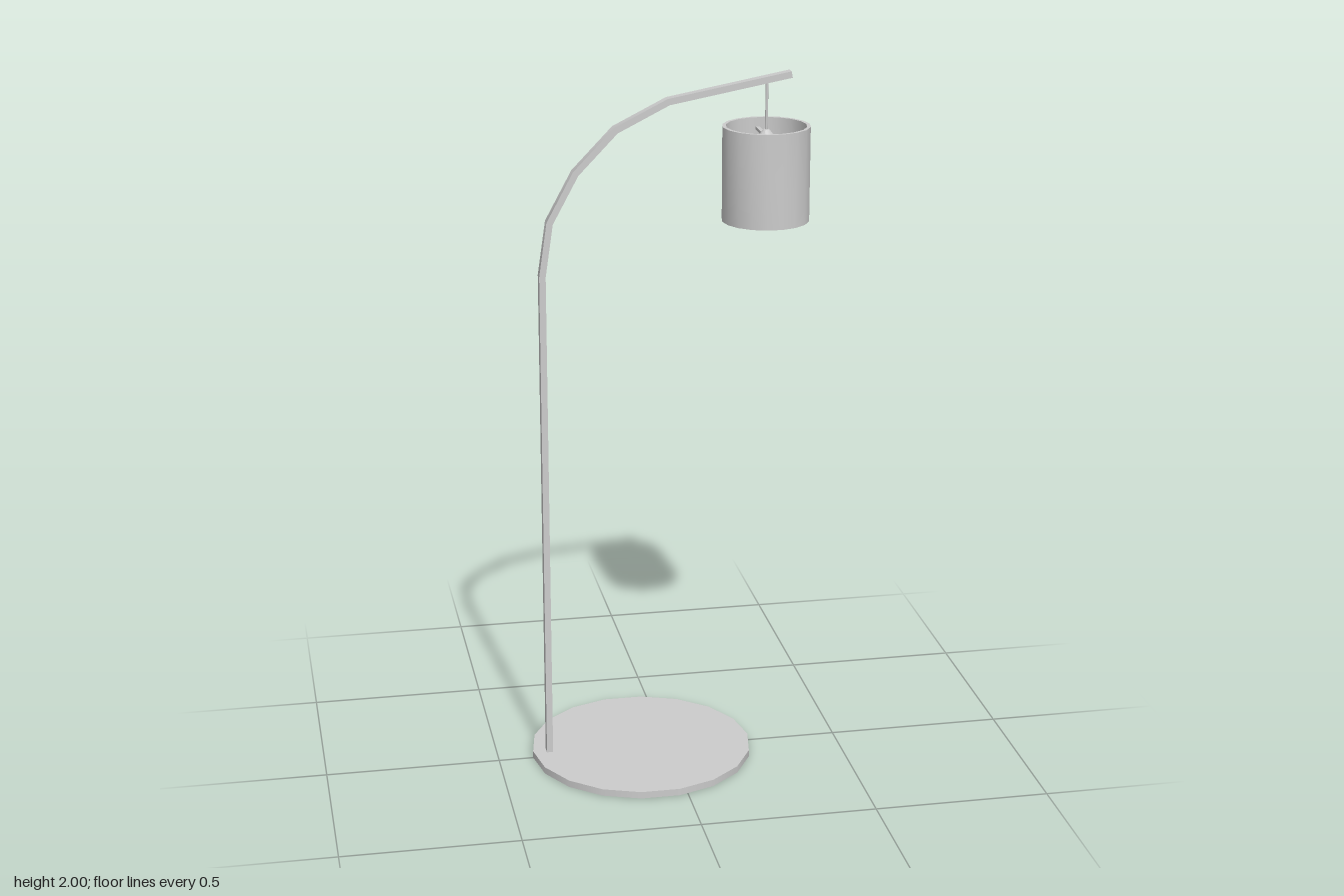
import * as THREE from 'three';
import { toCreasedNormals } from 'three/addons/utils/BufferGeometryUtils.js';

const SIDES = 18;
const LAMP_X = 0.275;

export function createModel() {
  const group = new THREE.Group();
  const material = new THREE.MeshStandardMaterial({ color: 0xcccccc });

  function add(name, geometry, x = 0, y = 0, z = 0, parent = group) {
    const mesh = new THREE.Mesh(geometry, material);
    mesh.name = name;
    mesh.position.set(x, y, z);
    parent.add(mesh);
    return mesh;
  }

  const lathe = (profile, sides) => toCreasedNormals(
    new THREE.LatheGeometry(profile.map(([r, y]) => new THREE.Vector2(r, y)), sides).rotateY(Math.PI / 2), 0.6);

  // Flat round foot
  add('base', new THREE.CylinderGeometry(0.32, 0.32, 0.02, SIDES).rotateY(Math.PI / 2), -0.08, 0.01, 0);

  // Upright and curved arm: one rectangular bar following a bent centre line
  const path = [
    [-0.352, 0.01], [-0.352, 1.455], [-0.33, 1.605], [-0.257, 1.74],
    [-0.146, 1.855], [0, 1.928], [0.342, 1.991],
  ].map(([x, y]) => new THREE.Vector2(x, y));
  add('arm', barAlong(path, 0.018, 0.028));

  // Hanging rod
  add('rod', new THREE.CylinderGeometry(0.004, 0.004, 0.155, 8), LAMP_X, 1.9025, 0);

  // Drum shade, open at both ends
  const lamp = new THREE.Group();
  lamp.name = 'lampShade';
  lamp.position.set(LAMP_X, 0, 0);
  group.add(lamp);
  add('shade', lathe([[0.122, 1.585], [0.122, 1.85], [0.112, 1.85], [0.112, 1.585], [0.122, 1.585]], SIDES), 0, 0, 0, lamp);

  // Cross of spokes carrying the shade
  for (let i = 0; i < 4; i++) {
    const spoke = new THREE.BoxGeometry(0.105, 0.008, 0.011).translate(0.0625, 0, 0);
    add('spoke', spoke, 0, 1.82, 0, lamp).rotation.y = i * Math.PI / 2;
  }

  // Lamp holder in the middle of the spokes
  add('socket', lathe([
    [0, 1.77], [0.016, 1.773], [0.023, 1.785], [0.023, 1.822], [0.008, 1.84], [0, 1.84],
  ], 12), 0, 0, 0, lamp);

  return group;
}

// Extrude a mitred outline of the given width around a path in the xy plane
function barAlong(path, width, depth) {
  const left = [], right = [];
  path.forEach((p, i) => {
    const a = path[Math.max(i - 1, 0)], b = path[Math.min(i + 1, path.length - 1)];
    const before = p.clone().sub(a).normalize();
    const after = b.clone().sub(p).normalize();
    const t = before.clone().add(after).normalize();
    const ref = i === 0 ? after : before;
    const offset = new THREE.Vector2(-t.y, t.x).multiplyScalar(width / 2 / t.dot(ref));
    left.push(p.clone().add(offset));
    right.unshift(p.clone().sub(offset));
  });
  const shape = new THREE.Shape([...left, ...right]);
  const bar = new THREE.ExtrudeGeometry(shape, { depth, bevelEnabled: false });
  return toCreasedNormals(bar.translate(0, 0, -depth / 2), 0.6);
}
